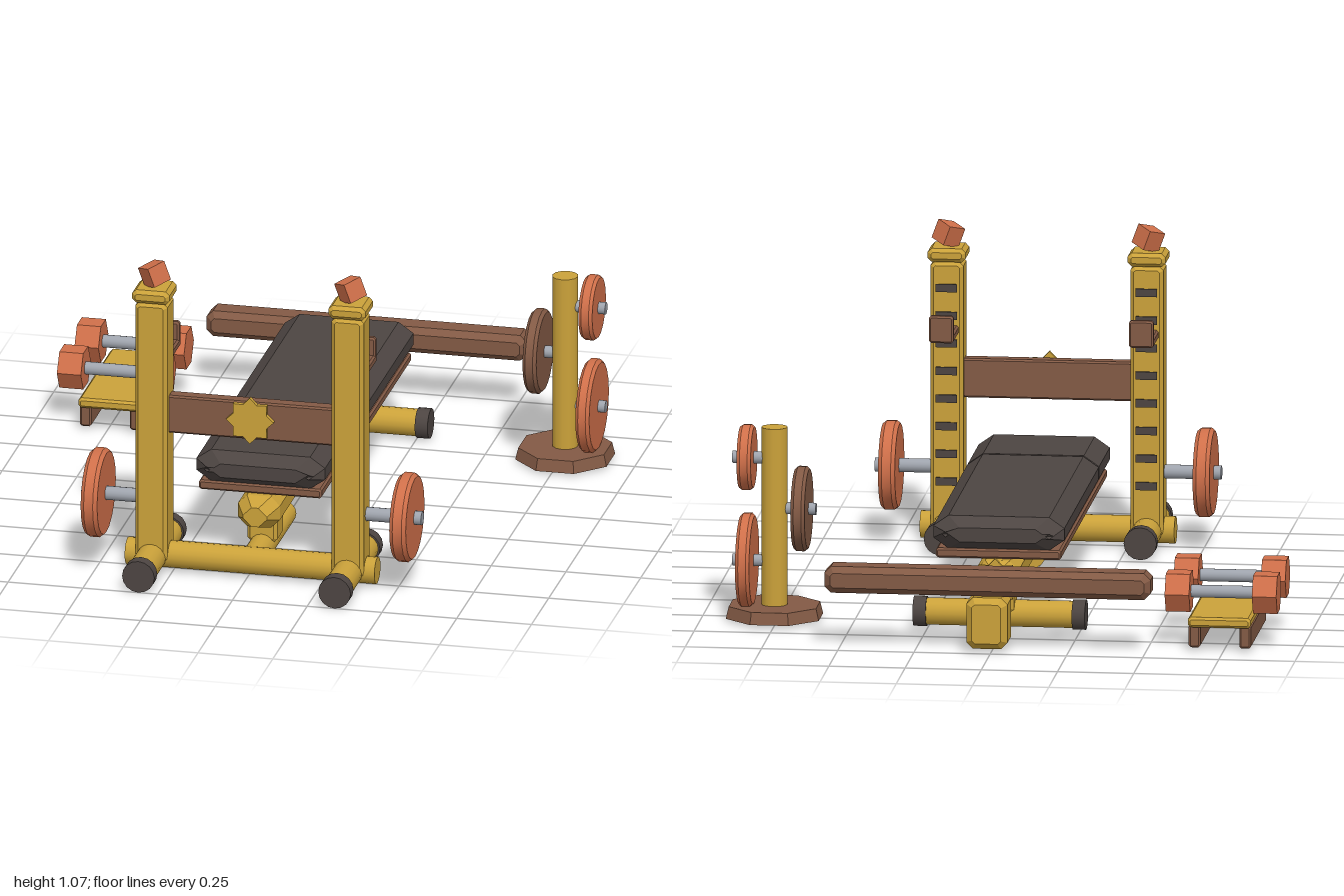
import * as THREE from 'three';
import { toCreasedNormals } from 'three/addons/utils/BufferGeometryUtils.js';

const mat = (name, color) => {
  const m = new THREE.MeshStandardMaterial({ color });
  m.name = name;
  return m;
};

export function createModel() {
  const gold = mat('gold paint', 0xcba23a);
  const brown = mat('brown wood', 0x835a45);
  const orange = mat('orange iron', 0xd0704a);
  const dark = mat('dark vinyl', 0x4d4542);
  const steel = mat('steel', 0x9fa4ad);

  const model = new THREE.Group();
  model.name = 'weightBenchSet';

  const group = (name, x = 0, y = 0, z = 0) => {
    const g = new THREE.Group();
    g.name = name;
    g.position.set(x, y, z);
    model.add(g);
    return g;
  };
  const add = (parent, name, geo, m, x, y, z) => {
    const mesh = new THREE.Mesh(geo, m);
    mesh.name = name;
    mesh.position.set(x, y, z);
    parent.add(mesh);
    return mesh;
  };

  // Rectangle outline with cut corners, counter-clockwise
  const section = (w, h, cx, cy = cx) => {
    const a = w / 2, b = h / 2;
    return [[a, -b + cy], [a, b - cy], [a - cx, b], [-a + cx, b],
      [-a, b - cy], [-a, -b + cy], [-a + cx, -b], [a - cx, -b]];
  };

  // Box with every edge chamfered
  const chamferBox = (w, h, d, c) => {
    const pts = section(w - 2 * c, h - 2 * c, c * 0.5).map(([x, y]) => new THREE.Vector2(x, y));
    const geo = new THREE.ExtrudeGeometry(new THREE.Shape(pts), {
      depth: d - 2 * c, bevelEnabled: true, bevelSegments: 1, bevelSize: c, bevelThickness: c,
    });
    return geo.translate(0, 0, -(d - 2 * c) / 2);
  };

  // Solid lofted along z through [z, inset] stations
  const loft = (w, h, cx, cy, stations) => {
    const pos = [], idx = [];
    for (const [z, inset] of stations)
      for (const [x, y] of section(w - 2 * inset, h - 1.4 * inset, cx * (1 - inset * 2), cy * (1 - inset * 2)))
        pos.push(x, y, z);
    const last = (stations.length - 1) * 8;
    for (let s = 0; s < last; s += 8)
      for (let i = 0; i < 8; i++) {
        const a = s + i, b = s + (i + 1) % 8;
        idx.push(a, b, b + 8, a, b + 8, a + 8);
      }
    for (let i = 1; i < 7; i++) idx.push(0, i + 1, i, last, last + i, last + i + 1);
    const geo = new THREE.BufferGeometry();
    geo.setAttribute('position', new THREE.Float32BufferAttribute(pos, 3));
    geo.setIndex(idx);
    const flat = geo.toNonIndexed();
    flat.computeVertexNormals();
    return flat;
  };

  // Cylinder along a chosen axis
  const rod = (r, len, axis, sides = 16) => {
    const geo = new THREE.CylinderGeometry(r, r, len, sides);
    if (axis === 'x') geo.rotateZ(Math.PI / 2);
    if (axis === 'z') geo.rotateX(Math.PI / 2);
    return geo;
  };

  // Weight plate with bevelled rim and a raised hub, axis along x
  const plate = (r, t) => {
    const h = t / 2;
    const profile = [[0, -h], [r * 0.93, -h], [r, -h * 0.55], [r, h * 0.55], [r * 0.93, h], [0, h]]
      .map(([x, y]) => new THREE.Vector2(x, y));
    return toCreasedNormals(new THREE.LatheGeometry(profile, 20), 0.45).rotateZ(Math.PI / 2);
  };

  // Eight-pointed badge, facing z
  const star = () => {
    const pts = [];
    for (let i = 0; i < 16; i++) {
      const r = i % 2 ? 0.06 : 0.08, a = i * Math.PI / 8;
      pts.push(new THREE.Vector2(r * Math.cos(a), r * Math.sin(a)));
    }
    return new THREE.ExtrudeGeometry(new THREE.Shape(pts), { depth: 0.016, bevelEnabled: false })
      .translate(0, 0, -0.008);
  };

  const CX = 0.013, RACK_Z = 0.764;

  // Rack: two uprights mirrored about the bench centre line
  const rack = group('rack', CX, 0, RACK_Z);
  for (const s of [-1, 1]) {
    const x = s * 0.328;
    add(rack, 'upright', chamferBox(0.108, 0.9, 0.11, 0.012), gold, x, 0.49, 0);
    add(rack, 'uprightCap', chamferBox(0.125, 0.045, 0.128, 0.012), gold, x, 0.963, 0);
    const finial = add(rack, 'finial', new THREE.BoxGeometry(0.066, 0.066, 0.066), orange, x, 1.026, 0);
    finial.rotation.set(0, Math.PI / 4, 0.35, 'ZYX');
    for (let i = 0; i < 8; i++)
      add(rack, 'heightSlot', new THREE.BoxGeometry(0.07, 0.026, 0.009), dark, x, 0.855 - i * 0.092, -0.057);
    add(rack, 'barHookArm', chamferBox(0.08, 0.03, 0.155, 0.006), brown, x, 0.717, -0.13);
    add(rack, 'barHookLip', chamferBox(0.08, 0.09, 0.026, 0.006), brown, x, 0.747, -0.196);
    add(rack, 'foot', rod(0.048, 0.46, 'z'), gold, x, 0.056, 0);
    for (const e of [-1, 1])
      add(rack, 'footCap', rod(0.054, 0.043, 'z'), dark, x, 0.056, e * 0.214);
    add(rack, 'plateAxle', rod(0.023, 0.2, 'x'), steel, s * 0.468, 0.25, 0);
    add(rack, 'storedPlate', plate(0.147, 0.055), orange, s * 0.516, 0.25, 0);
  }
  add(rack, 'crossBeam', chamferBox(0.56, 0.13, 0.05, 0.006), brown, 0, 0.55, 0);
  add(rack, 'frontBadge', star(), gold, 0, 0.555, 0.033);
  add(rack, 'floorBar', rod(0.045, 0.835, 'x'), gold, 0, 0.056, 0);

  // Bench: pad, board, rail and supports
  const bench = group('bench', CX);
  add(bench, 'pad', loft(0.43, 0.11, 0.05, 0.035, [
    [-0.685, 0.045], [-0.64, 0], [0.33, 0], [0.336, 0.006], [0.342, 0], [0.645, 0], [0.69, 0.045],
  ]), dark, 0, 0.33, 0);
  add(bench, 'padBoard', chamferBox(0.41, 0.032, 1.31, 0.006), brown, 0, 0.262, 0);
  add(bench, 'rail', loft(0.14, 0.108, 0.03, 0.03, [
    [-0.73, 0.03], [-0.68, 0], [0.67, 0], [0.73, 0.03],
  ]), gold, 0, 0.192, 0);
  add(bench, 'rearBadge', star(), gold, 0, 0.187, -0.742);
  add(bench, 'floorTube', rod(0.042, 0.45, 'z'), gold, 0, 0.056, 0.535);
  add(bench, 'frontSupport', chamferBox(0.1, 0.09, 0.1, 0.01), gold, 0, 0.115, 0.58);
  add(bench, 'rearSupport', chamferBox(0.1, 0.1, 0.1, 0.01), gold, 0, 0.115, -0.6);
  add(bench, 'rearFoot', rod(0.045, 0.5, 'x'), gold, 0, 0.056, -0.6);
  for (const s of [-1, 1])
    add(bench, 'rearFootCap', rod(0.05, 0.043, 'x'), dark, s * 0.261, 0.056, -0.6);

  // Long beam resting on a block behind the bench
  const beam = group('rearBeam', CX, 0, -0.928);
  add(beam, 'beam', chamferBox(1.07, 0.088, 0.108, 0.02), brown, 0, 0.23, 0);
  add(beam, 'beamBlock', chamferBox(0.135, 0.17, 0.145, 0.02), gold, 0, 0.1, 0);

  // Dumbbell stand with two hexagonal dumbbells
  const stand = group('dumbbellStand', -0.738, 0, -0.652);
  add(stand, 'standTop', chamferBox(0.206, 0.034, 0.48, 0.008), gold, 0, 0.1, 0);
  for (const s of [-1, 1]) {
    add(stand, 'standRunner', chamferBox(0.038, 0.075, 0.44, 0.006), brown, s * 0.083, 0.05, 0);
    const z = s * 0.128;
    add(stand, 'dumbbellBar', rod(0.021, 0.24, 'x'), steel, 0, 0.182, z);
    for (const e of [-1, 1]) {
      const head = toCreasedNormals(rod(0.072, 0.08, 'x', 6), 0.5);
      add(stand, 'dumbbellHead', head, orange, e * 0.143, 0.182, z);
    }
  }

  // Plate tree: base, post and plates hung on pegs
  const tree = group('plateTree', 0.763, 0, -0.52);
  const base = toCreasedNormals(new THREE.CylinderGeometry(0.155, 0.165, 0.04, 8), 0.4).rotateY(Math.PI / 8);
  add(tree, 'treeBase', base, brown, 0, 0.03, 0);
  add(tree, 'treePost', rod(0.043, 0.6, 'y', 12), gold, 0, 0.34, 0);
  for (const [side, y, r, m] of [[1, 0.537, 0.108, orange], [1, 0.195, 0.155, orange], [-1, 0.37, 0.14, brown]]) {
    add(tree, 'peg', rod(0.02, 0.12, 'x'), steel, side * 0.077, y, 0);
    add(tree, 'hungPlate', plate(r, 0.046), m, side * 0.09, y, 0);
  }
  return model;
}
